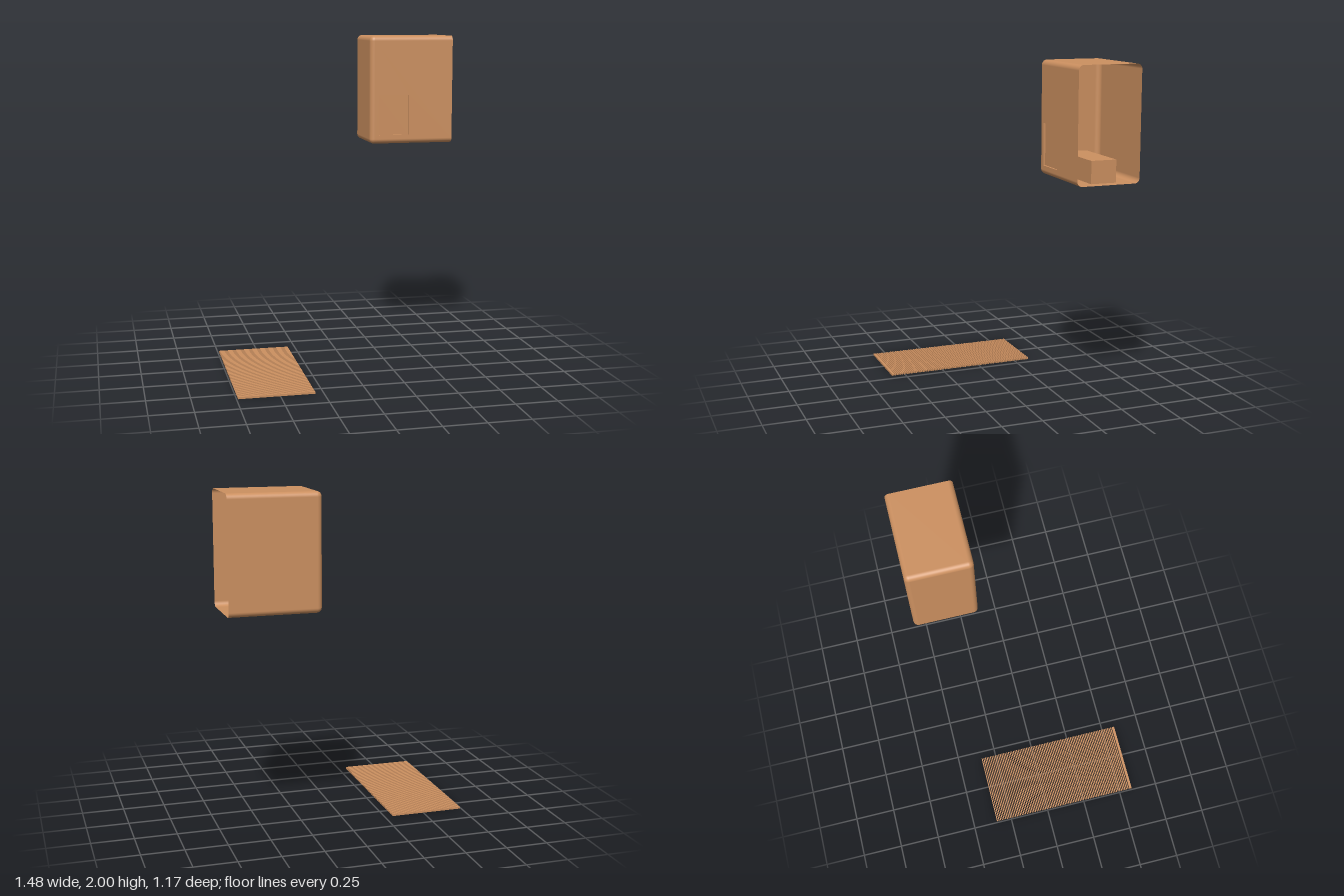
import * as THREE from 'three';
import { RoundedBoxGeometry } from 'three/addons/geometries/RoundedBoxGeometry.js';

const material = new THREE.MeshStandardMaterial({ color: 0xcc9060, side: THREE.DoubleSide });

// Housing limits and corner radius
const X0 = 0.21, X1 = 0.74, Y0 = 1.33, Y1 = 2, Z0 = -0.585, Z1 = -0.2, R = 0.03;

function add(parent, name, geometry) {
  const mesh = new THREE.Mesh(geometry, material);
  mesh.name = name;
  parent.add(mesh);
  return mesh;
}

// Removes the triangles for which drop(a, b, c) is true
function cut(geometry, drop) {
  const src = geometry.index ? geometry.toNonIndexed() : geometry;
  const p = src.attributes.position, n = src.attributes.normal;
  const pos = [], nor = [];
  for (let i = 0; i < p.count; i += 3) {
    const tri = [0, 1, 2].map(k => new THREE.Vector3().fromBufferAttribute(p, i + k));
    if (drop(tri)) continue;
    for (let k = 0; k < 3; k++) {
      pos.push(...tri[k].toArray());
      nor.push(n.getX(i + k), n.getY(i + k), n.getZ(i + k));
    }
  }
  const out = new THREE.BufferGeometry();
  out.setAttribute('position', new THREE.Float32BufferAttribute(pos, 3));
  out.setAttribute('normal', new THREE.Float32BufferAttribute(nor, 3));
  return out;
}

const onPlane = (tri, axis, value) => tri.every(v => Math.abs(v[axis] - value) < 1e-4);

// Box between two corners
function boxBetween(a, b) {
  const g = new THREE.BoxGeometry(b[0] - a[0], b[1] - a[1], b[2] - a[2]);
  return g.translate((a[0] + b[0]) / 2, (a[1] + b[1]) / 2, (a[2] + b[2]) / 2);
}

// Flat rectangle with a rectangular hole, each given as [u0, v0, u1, v1]
function panel([a, b, c, d], [e, f, g, h]) {
  const v = (x, y) => new THREE.Vector2(x, y);
  const shape = new THREE.Shape([v(a, b), v(c, b), v(c, d), v(a, d)]);
  shape.holes.push(new THREE.Path([v(e, f), v(e, h), v(g, h), v(g, f)]));
  return new THREE.ShapeGeometry(shape);
}

function createHousing() {
  const housing = new THREE.Group();
  housing.name = 'housing';

  // Rounded shell, open on its left; front and bottom flats are replaced below
  const shell = new RoundedBoxGeometry(X1 + R - X0, Y1 - Y0, Z1 - Z0, 5, R);
  shell.translate((X0 + X1 + R) / 2, (Y0 + Y1) / 2, (Z0 + Z1) / 2);
  add(housing, 'shell', cut(shell, t =>
    (t[0].x + t[1].x + t[2].x) / 3 > X1 + 1e-4 || onPlane(t, 'z', Z1) || onPlane(t, 'y', Y0)));

  // Front wall with a shallow window recess
  const win = [0.265, 1.385, 0.46, 1.635];
  add(housing, 'frontWall', panel([X0 + R, Y0 + R, X1, Y1 - R], win).translate(0, 0, Z1));
  const recess = boxBetween([win[0], win[1], Z1 - 0.012], [win[2], win[3], Z1]);
  add(housing, 'windowRecess', cut(recess, t => onPlane(t, 'z', Z1)));

  // Floor with a deep socket opening downward
  const slot = [0.28, -0.47, 0.675, -0.315];
  const floor = panel([X0 + R, Z0 + R, X1, Z1 - R], slot);
  add(housing, 'floor', floor.rotateX(Math.PI / 2).translate(0, Y0, 0));
  const socket = boxBetween([slot[0], Y0, slot[1]], [slot[2], 1.462, slot[3]]);
  add(housing, 'bottomSocket', cut(socket, t => onPlane(t, 'y', Y0)));
  return housing;
}

function createSlatMat() {
  const mat = new THREE.Group();
  mat.name = 'slatMat';
  const left = -0.742, right = -0.3, height = 0.012;
  const start = -0.347, end = 0.569, count = 80, pitch = (end - start) / count;

  // Row of narrow slats with gaps between them
  const slat = boxBetween([left, 0, 0], [right, height, pitch * 0.55]);
  for (let i = 0; i < count; i++) add(mat, 'slat', slat).position.z = start + i * pitch;

  // Wider bar closing the front edge
  add(mat, 'endBar', boxBetween([left, 0, end], [right, height, 0.585]));
  return mat;
}

export function createModel() {
  const model = new THREE.Group();
  model.name = 'housingAndSlatMat';
  model.add(createHousing(), createSlatMat());
  return model;
}
